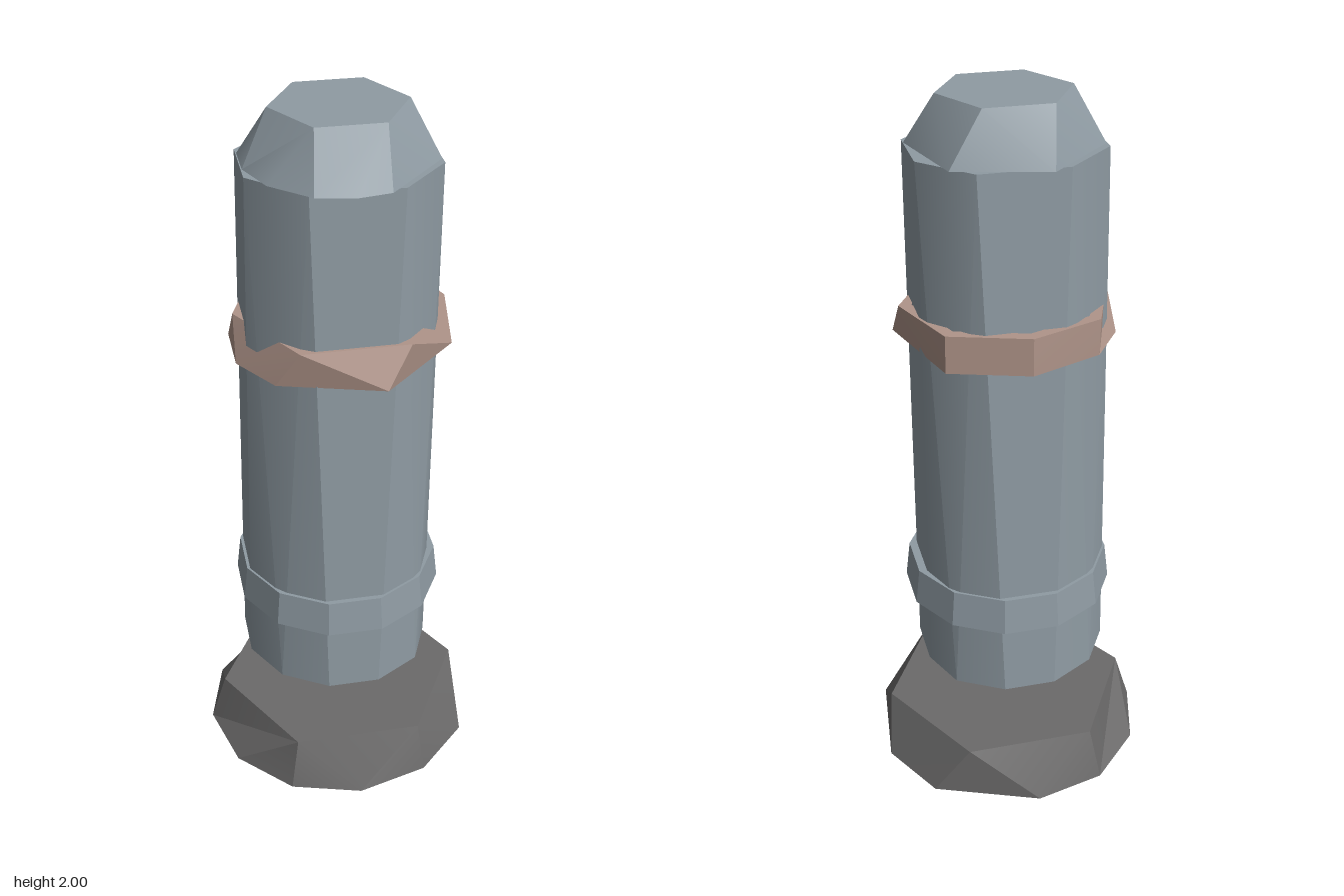
import * as THREE from 'three';
import { toCreasedNormals } from 'three/addons/utils/BufferGeometryUtils.js';

const material = (name, color) =>
  new THREE.MeshStandardMaterial({ name, color, side: THREE.DoubleSide });

// A level outline of [x, z] corners at height y, ordered by angle
function loop(y, corners) {
  const angle = (p) => (Math.atan2(p.z, p.x) + Math.PI * 2) % (Math.PI * 2);
  return corners
    .map(([x, z]) => new THREE.Vector3(x, y, z))
    .sort((a, b) => angle(a) - angle(b));
}

// Corners of a regular polygon
function polygon(sides, radius, turn = 0) {
  return Array.from({ length: sides }, (_, i) => {
    const a = turn + (i / sides) * Math.PI * 2;
    return [radius * Math.cos(a), radius * Math.sin(a)];
  });
}

const scaled = (corners, s) => corners.map(([x, z]) => [x * s, z * s]);

// Zips successive outlines, which may have different corner counts
function loft(loops, { capTop = false, capBottom = false } = {}) {
  const tris = [];
  const at = (l, i) => {
    const p = l[i % l.length];
    return Math.atan2(p.z, p.x) + (Math.atan2(p.z, p.x) < 0 ? Math.PI * 2 : 0)
      + Math.floor(i / l.length) * Math.PI * 2;
  };
  for (let k = 0; k + 1 < loops.length; k++) {
    const b = loops[k], t = loops[k + 1];
    let i = 0, j = 0;
    while (i < b.length || j < t.length) {
      const p = b[i % b.length], q = t[j % t.length];
      const lower = j >= t.length || (i < b.length && at(b, i + 1) <= at(t, j + 1));
      if (lower) tris.push(p, q, b[++i % b.length]);
      else tris.push(p, q, t[++j % t.length]);
    }
  }
  const fan = (l, up) => {
    for (let i = 1; i + 1 < l.length; i++) {
      tris.push(l[0], l[up ? i + 1 : i], l[up ? i : i + 1]);
    }
  };
  if (capTop) fan(loops[loops.length - 1], true);
  if (capBottom) fan(loops[0], false);
  return toCreasedNormals(new THREE.BufferGeometry().setFromPoints(tris), 0.45);
}

export function createModel() {
  const model = new THREE.Group();
  model.name = 'bollard';
  const steel = material('blueGreySteel', 0x8f9ba3);
  const copper = material('dullCopper', 0xb0958a);
  const iron = material('darkIron', 0x6b6a6a);

  const add = (name, geometry, mat) => {
    const mesh = new THREE.Mesh(geometry, mat);
    mesh.name = name;
    model.add(mesh);
    return mesh;
  };

  // Hollow foot: faceted rim rising to a hexagonal top
  add('foot', loft([
    loop(0, [[0, -0.4], [0.29, -0.285], [0.39, -0.1], [0.355, 0.2], [0.205, 0.345], [0, 0.4],
      [-0.2, 0.345], [-0.345, 0.2], [-0.4, 0], [-0.345, -0.2], [-0.2, -0.35]]),
    loop(0.147, [[0.365, 0], [0.19, 0.31], [-0.175, 0.31], [-0.355, 0], [-0.175, -0.315], [0.19, -0.315]]),
  ], { capTop: true }), iron);

  // Square stem standing on its corner line
  add('stem', loft([
    loop(0.14, [[0.075, 0.01], [-0.02, 0.075], [-0.062, -0.01], [0.01, -0.065]]),
    loop(0.33, [[0.075, 0.01], [-0.01, 0.075], [-0.062, -0.01], [0.01, -0.065]]),
  ]), iron);

  // Tapering column, flattened on its +x side
  const columnFoot = polygon(12, 0.285, Math.PI / 12).map(([x, z]) => [Math.min(x, 0.256), z]);
  const columnHead = [[0.256, 0.09], [0.13, 0.222], [-0.11, 0.222], [-0.248, 0.09],
    [-0.248, -0.09], [-0.11, -0.222], [0.13, -0.222], [0.256, -0.09]];
  add('column', loft([loop(0.325, columnFoot), loop(1.86, columnHead)], { capTop: true }), steel);
  add('columnUnderside', loft([loop(0.325, columnFoot)], { capBottom: true }), iron);

  // Raised band low on the column
  const bandLow = polygon(12, 0.3, Math.PI / 12);
  const bandHigh = polygon(12, 0.288, Math.PI / 12);
  add('lowerBand', loft([
    loop(0.535, scaled(bandLow, 0.9)), loop(0.535, bandLow),
    loop(0.64, bandHigh), loop(0.64, scaled(bandHigh, 0.9)),
  ]), steel);

  // Twisted faceted copper ring
  const ringLow = [[0.3, 0.08], [0.08, 0.29], [-0.2, 0.21], [-0.285, 0.08], [-0.285, -0.08],
    [-0.2, -0.205], [0, -0.285], [0.215, -0.215]];
  const ringHigh = [[0.295, 0], [0.15, 0.245], [-0.14, 0.245], [-0.28, 0], [-0.2, -0.21],
    [0, -0.285], [0.215, -0.215]];
  add('copperRing', loft([
    loop(1.335, scaled(ringLow, 0.88)), loop(1.335, ringLow),
    loop(1.44, ringHigh), loop(1.44, scaled(ringHigh, 0.88)),
  ]), copper);

  // Faceted cap with a hexagonal top
  add('cap', loft([
    loop(1.86, [[0.255, 0.065], [0.09, 0.245], [0, 0.26], [-0.1, 0.24], [-0.2, 0.15], [-0.245, 0.04],
      [-0.245, -0.065], [-0.06, -0.25], [0.19, -0.185]]),
    loop(2, [[0.185, 0], [0.095, 0.155], [-0.085, 0.155], [-0.175, 0], [-0.085, -0.157], [0.1, -0.157]]),
  ], { capTop: true }), steel);

  return model;
}
